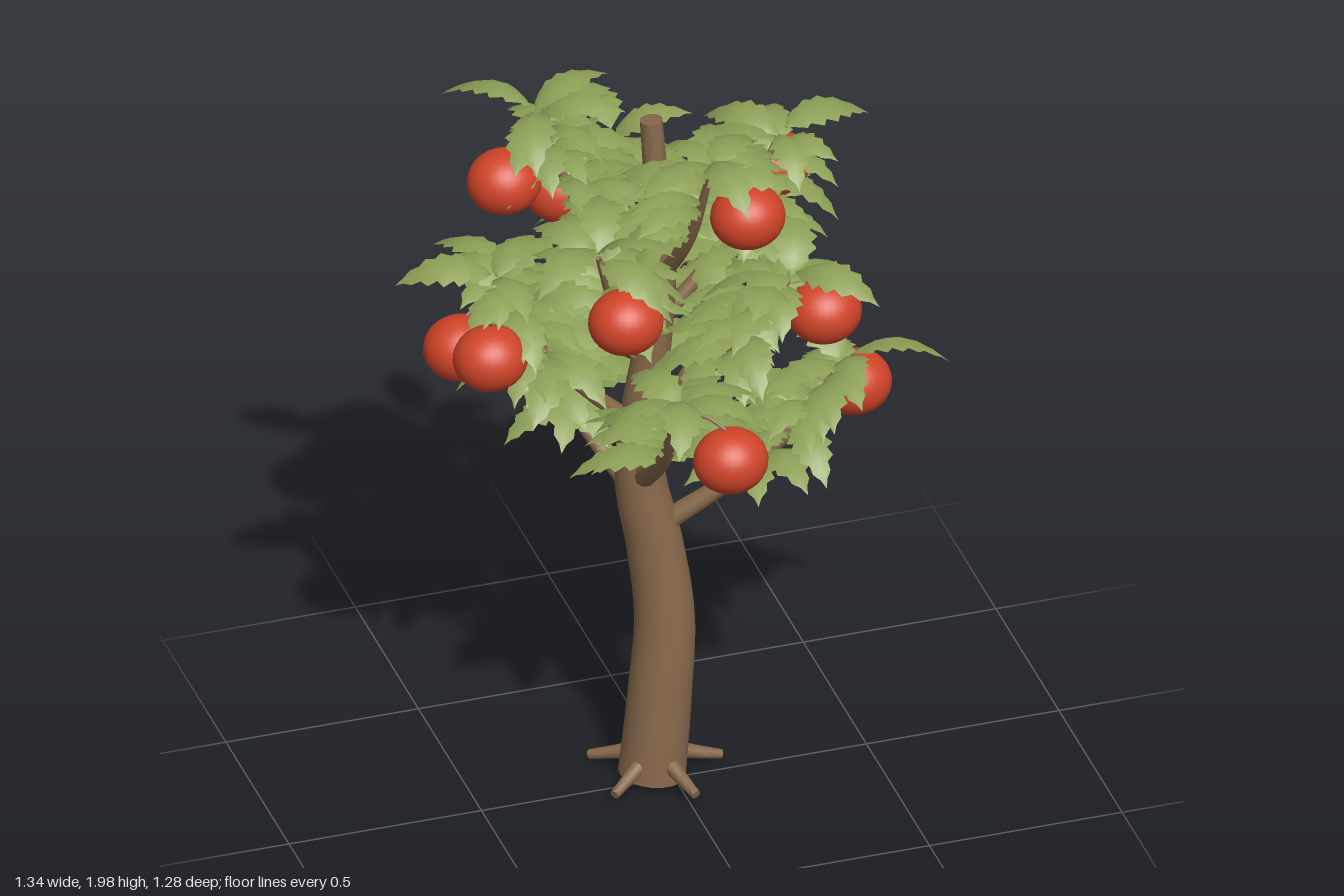
import * as THREE from 'three';
import { mergeGeometries, toCreasedNormals } from 'three/addons/utils/BufferGeometryUtils.js';

const V = (x, y, z) => new THREE.Vector3(x, y, z);

// Small seeded generator, returns -1..1
let seed = 7;
const rnd = () => {
  seed = (seed * 16807) % 2147483647;
  return (seed / 2147483647) * 2 - 1;
};

// Tube along a curve whose radius follows radiusAt(u), closed with flat caps
function taperedTube(curve, radiusAt, segments, sides) {
  const geo = new THREE.TubeGeometry(curve, segments, 1, sides, false);
  const pos = geo.attributes.position;
  const ring = sides + 1;
  for (let i = 0; i <= segments; i++) {
    const u = i / segments;
    const isCap = i === 0 || i === segments;
    const inner = i === 0 ? 1 / segments : i === segments ? 1 - 1 / segments : u;
    const centre = curve.getPointAt(u);
    const target = curve.getPointAt(inner);
    const r = isCap ? 0 : radiusAt(u);
    for (let j = 0; j < ring; j++) {
      const k = i * ring + j;
      const v = V().fromBufferAttribute(pos, k).sub(centre).multiplyScalar(r).add(target);
      pos.setXYZ(k, v.x, v.y, v.z);
    }
  }
  geo.deleteAttribute('normal');
  return toCreasedNormals(geo, 0.9);
}

// Serrated leaf, arched along its length and folded at the midrib, pointing to +z
function leafGeometry() {
  const length = 0.24;
  const rows = 12;
  const geo = new THREE.PlaneGeometry(2, 1, 2, rows).rotateX(-Math.PI / 2);
  const pos = geo.attributes.position;
  for (let i = 0; i < pos.count; i++) {
    const row = Math.floor(i / 3);
    const t = row / rows;
    const side = pos.getX(i);
    const tooth = row % 2 ? 0.78 : 1.1;
    const w = row === 0 ? 0.005 : 0.056 * Math.sin(Math.PI * Math.pow(t, 0.8)) * tooth;
    const forward = row % 2 ? 0 : Math.abs(side) * 0.012 * (1 - t);
    pos.setXYZ(i, side * w, 0.17 * t - 0.21 * t * t - Math.abs(side) * w * 0.3, length * t + forward);
  }
  geo.computeVertexNormals();
  return geo;
}

export function createModel() {
  const bark = new THREE.MeshStandardMaterial({ color: 0x86684a });
  bark.name = 'bark brown';
  const green = new THREE.MeshStandardMaterial({ color: 0x8ca056, side: THREE.DoubleSide });
  green.name = 'leaf green';
  const red = new THREE.MeshStandardMaterial({ color: 0xd04428 });
  red.name = 'fruit red';

  const tree = new THREE.Group();
  tree.name = 'fruitTree';
  const add = (parent, geo, mat, name) => {
    const mesh = new THREE.Mesh(geo, mat);
    mesh.name = name;
    parent.add(mesh);
    return mesh;
  };

  // Bent trunk
  const trunkCurve = new THREE.CatmullRomCurve3([
    V(-0.05, -0.012, -0.03), V(-0.025, 0.25, -0.035), V(-0.01, 0.46, -0.045), V(-0.03, 0.66, -0.06),
    V(-0.065, 0.86, -0.068), V(-0.06, 1.06, -0.062), V(-0.035, 1.28, -0.05), V(-0.02, 1.5, -0.04),
    V(-0.03, 1.72, -0.05), V(-0.042, 1.93, -0.06),
  ]);
  const trunkRadius = (u) => (u < 0.4 ? 0.085 - 0.04 * u : 0.028 + 0.041 * Math.pow((1 - u) / 0.6, 1.5));
  add(tree, taperedTube(trunkCurve, trunkRadius, 60, 20), bark, 'trunk');
  const trunkPoints = trunkCurve.getPoints(300);
  const trunkAt = (y) => trunkPoints.find((p) => p.y >= y).clone();

  // Short roots around the base
  for (let i = 0; i < 5; i++) {
    const a = (i * Math.PI * 2) / 5;
    const at = (r, y) => V(-0.04 + r * Math.cos(a), y, -0.027 + r * Math.sin(a));
    const curve = new THREE.CatmullRomCurve3([at(0.05, 0.078), at(0.1, 0.06), at(0.185, 0.035)]);
    add(tree, taperedTube(curve, (u) => 0.022 - 0.011 * u, 10, 10), bark, 'root');
  }

  // Fruit centres; each belongs to one branch
  const fruits = [
    [0.48, 1.05, -0.035], [-0.43, 1.12, -0.38], [0, 1.2, 0.45], [0.25, 1.27, -0.405],
    [-0.49, 1.35, 0.04], [0.325, 1.425, 0.2], [-0.15, 1.495, -0.435], [-0.23, 1.57, 0.32],
    [0.31, 1.645, -0.16], [-0.385, 1.72, -0.17], [0.1, 1.79, 0.28],
  ];
  const leaf = leafGeometry();
  const fruitGeo = new THREE.SphereGeometry(1, 28, 20).scale(0.094, 0.083, 0.087);

  fruits.forEach(([fx, fy, fz]) => {
    const limb = new THREE.Group();
    limb.name = 'limb';
    tree.add(limb);

    // Upward-curving branch, a little to one side of its fruit
    const angle = Math.atan2(fz, fx) + 0.27;
    const reach = Math.hypot(fx, fz) - 0.04;
    const start = trunkAt(fy - 0.35);
    const end = V(reach * Math.cos(angle), fy + 0.16, reach * Math.sin(angle));
    const middle = start.clone().lerp(end, 0.58);
    middle.y -= 0.07;
    const curve = new THREE.CatmullRomCurve3([start, middle, end]);
    const base = fy < 1.3 ? 0.03 : 0.023;
    add(limb, taperedTube(curve, (u) => base * (1 - 0.72 * u), 18, 10), bark, 'branch');

    // Fruit hanging on a thin stalk
    const hang = curve.getPointAt(0.93);
    const top = V(fx, fy + 0.075, fz);
    const bend = hang.clone().lerp(top, 0.6);
    bend.y += 0.015;
    const stalk = new THREE.CatmullRomCurve3([hang, bend, top]);
    add(limb, taperedTube(stalk, () => 0.005, 8, 6), bark, 'stalk');
    add(limb, fruitGeo, red, 'fruit').position.set(fx, fy, fz);

    // Leaves: one at the tip, pairs along the outer branch, some turned toward the trunk
    const leaves = [];
    const place = (u, turn, pitch, size) => {
      const o = new THREE.Object3D();
      o.position.copy(curve.getPointAt(u));
      o.rotation.set(pitch, Math.PI / 2 - angle - turn, rnd() * 0.25, 'YXZ');
      o.scale.setScalar(size);
      o.updateMatrix();
      leaves.push(leaf.clone().applyMatrix4(o.matrix));
    };
    place(1, 0.05, -0.05, 1);
    for (let i = 0; i < 11; i++) {
      const u = 0.46 + i * 0.051;
      for (const side of [-1, 1]) {
        place(u, side * (1.65 + 0.75 * rnd()), -0.1 + 0.3 * rnd(), 0.9 + 0.12 * rnd());
      }
    }
    for (let i = 0; i < 7; i++) {
      place(0.5 + i * 0.075, Math.PI + 0.7 * rnd(), -0.1 + 0.25 * rnd(), 0.95);
    }
    add(limb, mergeGeometries(leaves), green, 'leaves');
  });

  return tree;
}
